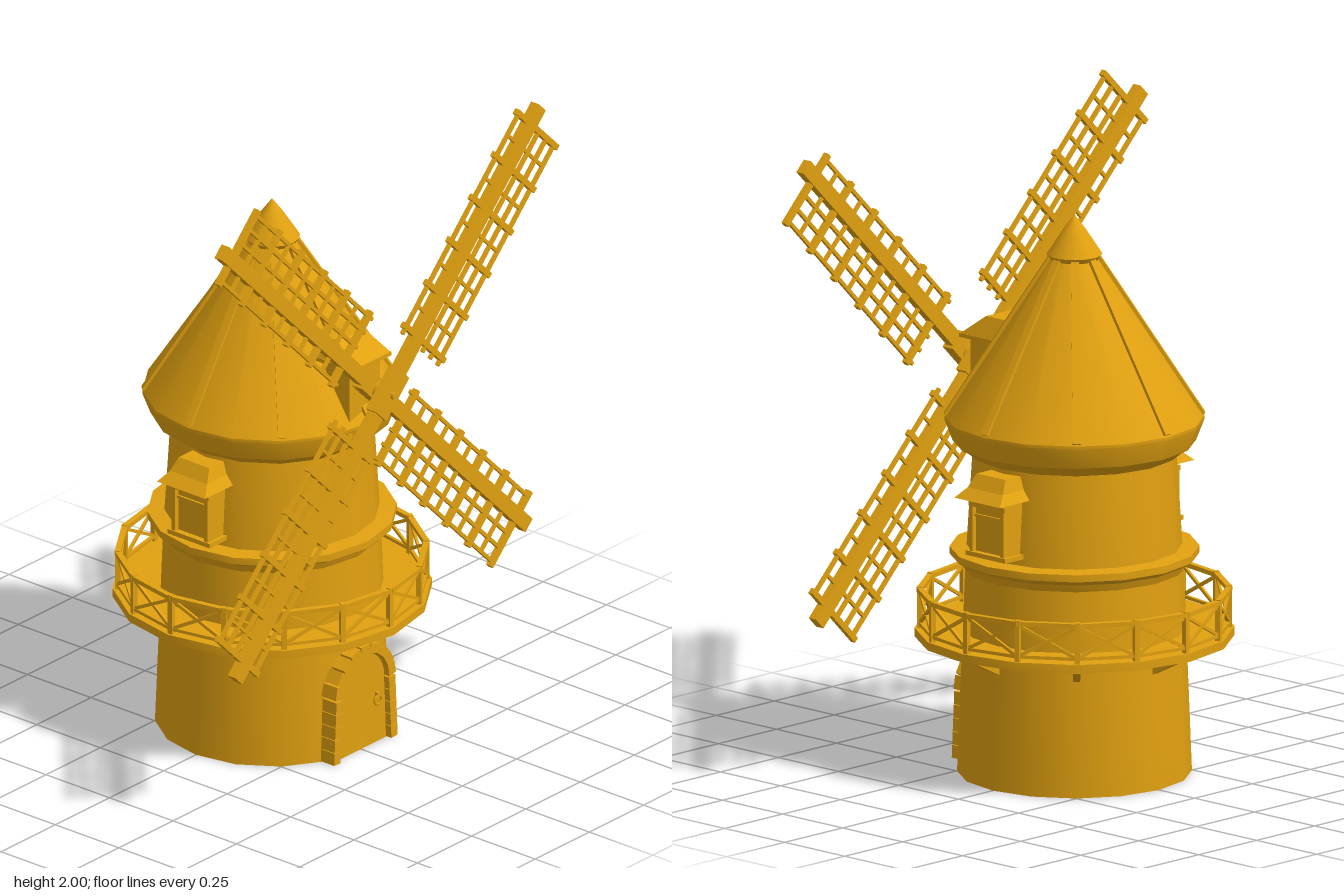
import * as THREE from 'three';
import { toCreasedNormals } from 'three/addons/utils/BufferGeometryUtils.js';

const material = new THREE.MeshStandardMaterial({ color: 0xe0a010, side: THREE.DoubleSide });
const V = (x, y, z) => new THREE.Vector3(x, y, z);

function add(parent, name, geometry) {
  const mesh = new THREE.Mesh(geometry, material);
  mesh.name = name;
  parent.add(mesh);
  return mesh;
}

function group(parent, name) {
  const g = new THREE.Group();
  g.name = name;
  parent.add(g);
  return g;
}

function box(parent, name, w, h, d, x, y, z) {
  const mesh = add(parent, name, new THREE.BoxGeometry(w, h, d));
  mesh.position.set(x, y, z);
  return mesh;
}

// Straight timber from a to b
function bar(parent, name, a, b, w, h) {
  const mesh = add(parent, name, new THREE.BoxGeometry(w, h, a.distanceTo(b)));
  mesh.position.copy(a).lerp(b, 0.5);
  mesh.lookAt(b);
  return mesh;
}

// Sixteen-sided turned part, smooth around and creased along its profile
function turned(parent, name, profile) {
  const lathe = new THREE.LatheGeometry(profile.map(([r, y]) => new THREE.Vector2(r, y)), 16);
  return add(parent, name, toCreasedNormals(lathe, 0.45));
}

// Box whose top has its own half-width and front edge
function taper(parent, name, y0, y1, halfBottom, halfTop, frontBottom, frontTop, back) {
  const geo = new THREE.BoxGeometry(2, 1, 1).toNonIndexed();
  const p = geo.attributes.position;
  for (let i = 0; i < p.count; i++) {
    const top = p.getY(i) > 0;
    p.setXYZ(i, p.getX(i) * (top ? halfTop : halfBottom), top ? y1 : y0,
      p.getZ(i) < 0 ? back : top ? frontTop : frontBottom);
  }
  geo.computeVertexNormals();
  return add(parent, name, geo);
}

const polar = (r, y, a) => V(r * Math.sin(a), y, r * Math.cos(a));

function archShape(half, spring) {
  const s = new THREE.Shape();
  s.moveTo(-half * 1.07, 0);
  s.lineTo(half * 1.07, 0);
  s.lineTo(half, spring);
  s.absarc(0, spring, half, 0, Math.PI, false);
  s.closePath();
  return s;
}

function buildDoor(parent) {
  const door = group(parent, 'door');
  const panel = add(door, 'doorPanel', new THREE.ExtrudeGeometry(archShape(0.108, 0.205),
    { depth: 0.045, bevelEnabled: false, curveSegments: 10 }));
  panel.position.z = 0.305;
  // Jamb stones, then the arch stones
  for (const s of [-1, 1]) {
    for (let i = 0; i < 5; i++) {
      const stone = box(door, 'jambStone', 0.029, 0.039, 0.07, s * (0.131 - i * 0.0022), 0.021 + i * 0.041, 0.335);
      stone.rotation.z = s * 0.05;
    }
  }
  for (let i = 0; i < 9; i++) {
    const a = (i + 0.5) * Math.PI / 9;
    const stone = box(door, 'archStone', 0.03, 0.042, 0.07, 0.122 * Math.cos(a), 0.21 + 0.122 * Math.sin(a), 0.335);
    stone.rotation.z = a;
  }
  const ring = add(door, 'doorRing', new THREE.TorusGeometry(0.015, 0.004, 6, 14));
  ring.position.set(0.072, 0.14, 0.356);
  box(door, 'ringPlate', 0.012, 0.016, 0.012, 0.072, 0.157, 0.354);
}

function buildBalcony(parent) {
  const balcony = group(parent, 'balcony');
  turned(balcony, 'deck', [[0.3, 0.417], [0.48, 0.417], [0.48, 0.443], [0.3, 0.443]]);
  const step = Math.PI / 8, r = 0.464;
  for (let i = 0; i < 16; i++) {
    const a = i * step, b = a + step;
    const post = box(balcony, 'railPost', 0.016, 0.13, 0.016, r * Math.sin(a), 0.505, r * Math.cos(a));
    post.rotation.y = a;
    bar(balcony, 'topRail', polar(r, 0.56, a), polar(r, 0.56, b), 0.018, 0.014);
    bar(balcony, 'lowerRail', polar(r, 0.458, a), polar(r, 0.458, b), 0.01, 0.01);
    bar(balcony, 'railCross', polar(r, 0.458, a), polar(r, 0.555, b), 0.008, 0.01);
    bar(balcony, 'railCross', polar(r, 0.555, a), polar(r, 0.458, b), 0.008, 0.01);
  }
  for (let i = 0; i < 8; i++) {
    const a = i * Math.PI / 4;
    bar(balcony, 'bracket', polar(0.32, 0.36, a), polar(0.43, 0.415, a), 0.022, 0.022);
  }
}

function buildWindow(parent, angle) {
  const win = group(parent, 'sideWindow');
  taper(win, 'windowBody', 0.725, 0.905, 0.07, 0.07, 0.365, 0.365, 0.25);
  box(win, 'sill', 0.165, 0.014, 0.12, 0, 0.727, 0.325);
  box(win, 'lintel', 0.15, 0.016, 0.02, 0, 0.88, 0.37);
  for (const s of [-1, 1]) box(win, 'windowJamb', 0.014, 0.15, 0.02, s * 0.064, 0.805, 0.37);
  box(win, 'windowBar', 0.12, 0.008, 0.01, 0, 0.845, 0.367);
  // Flared hipped roof
  taper(win, 'windowRoofFlare', 0.9, 0.93, 0.095, 0.073, 0.42, 0.385, 0.25);
  taper(win, 'windowRoofTop', 0.93, 0.97, 0.073, 0.06, 0.385, 0.36, 0.25);
  win.rotation.y = angle;
}

function buildRoof(parent) {
  const roof = group(parent, 'roof');
  turned(roof, 'eave', [[0.29, 0.985], [0.315, 0.985], [0.345, 1.01], [0.365, 1.02], [0.39, 1.085], [0.39, 1.095]]);
  turned(roof, 'roofCone', [[0.39, 1.093], [0.07, 1.585]]);
  turned(roof, 'roofTip', [[0, 1.575], [0.07, 1.575], [0.084, 1.595], [0.035, 1.67], [0, 1.717]]);
  for (let i = 0; i < 8; i++) {
    const a = i * Math.PI / 4;
    bar(roof, 'roofRib', polar(0.385, 1.1, a), polar(0.07, 1.586, a), 0.024, 0.016);
  }
}

function buildHousing(parent) {
  const housing = group(parent, 'shaftHousing');
  taper(housing, 'housingBody', 1.11, 1.3, 0.07, 0.07, 0.365, 0.365, 0.15);
  taper(housing, 'housingRoof', 1.295, 1.36, 0.088, 0.06, 0.395, 0.31, 0.14);
  box(housing, 'housingRoofEdge', 0.176, 0.012, 0.2, 0, 1.292, 0.295);
}

// One sail pointing along +y, with its wide lattice on +x
function buildSail(parent, angle, z) {
  const sail = group(parent, 'sail');
  box(sail, 'spar', 0.046, 0.99, 0.03, 0, 0.495, 0);
  for (const x of [-0.07, 0.06, 0.11, 0.158]) box(sail, 'latticeBatten', 0.011, 0.77, 0.011, x, 0.555, 0);
  for (let i = 0; i < 11; i++) {
    const thick = i % 2 === 0;
    box(sail, 'latticeRung', thick ? 0.26 : 0.235, thick ? 0.018 : 0.01, thick ? 0.018 : 0.01,
      0.044, 0.195 + i * 0.0735, 0);
  }
  sail.position.z = z;
  sail.rotation.z = angle;
}

function buildSails(parent) {
  const rotor = group(parent, 'rotor');
  rotor.position.y = 1.21;
  for (let i = 0; i < 4; i++) buildSail(rotor, Math.PI / 4 + i * Math.PI / 2, i % 2 ? 0.452 : 0.4);
  const shaft = add(rotor, 'shaft', new THREE.CylinderGeometry(0.03, 0.03, 0.26, 12));
  shaft.rotation.x = Math.PI / 2;
  shaft.position.z = 0.33;
  // Hub blocks follow the crossed spars
  [0.4, 0.455].forEach((z, i) => {
    const hub = box(rotor, 'hubBlock', 0.065, 0.15, 0.042, 0, 0, z);
    hub.rotation.z = i ? -Math.PI / 4 : Math.PI / 4;
  });
  const pin = add(rotor, 'hubPin', new THREE.CylinderGeometry(0.012, 0.012, 0.02, 10));
  pin.rotation.x = Math.PI / 2;
  pin.position.z = 0.477;
}

export function createModel() {
  const model = new THREE.Group();
  model.name = 'windmill';
  // Open-bottomed tower with a ledge around its waist
  turned(model, 'tower', [[0.352, 0], [0.327, 0.64], [0.305, 1.0]]);
  turned(model, 'ledge', [[0.31, 0.63], [0.335, 0.632], [0.345, 0.655], [0.375, 0.672], [0.375, 0.694], [0.31, 0.7]]);
  buildDoor(model);
  buildBalcony(model);
  for (const s of [-1, 1]) buildWindow(model, s * Math.PI / 2);
  buildRoof(model);
  buildHousing(model);
  buildSails(model);
  return model;
}
